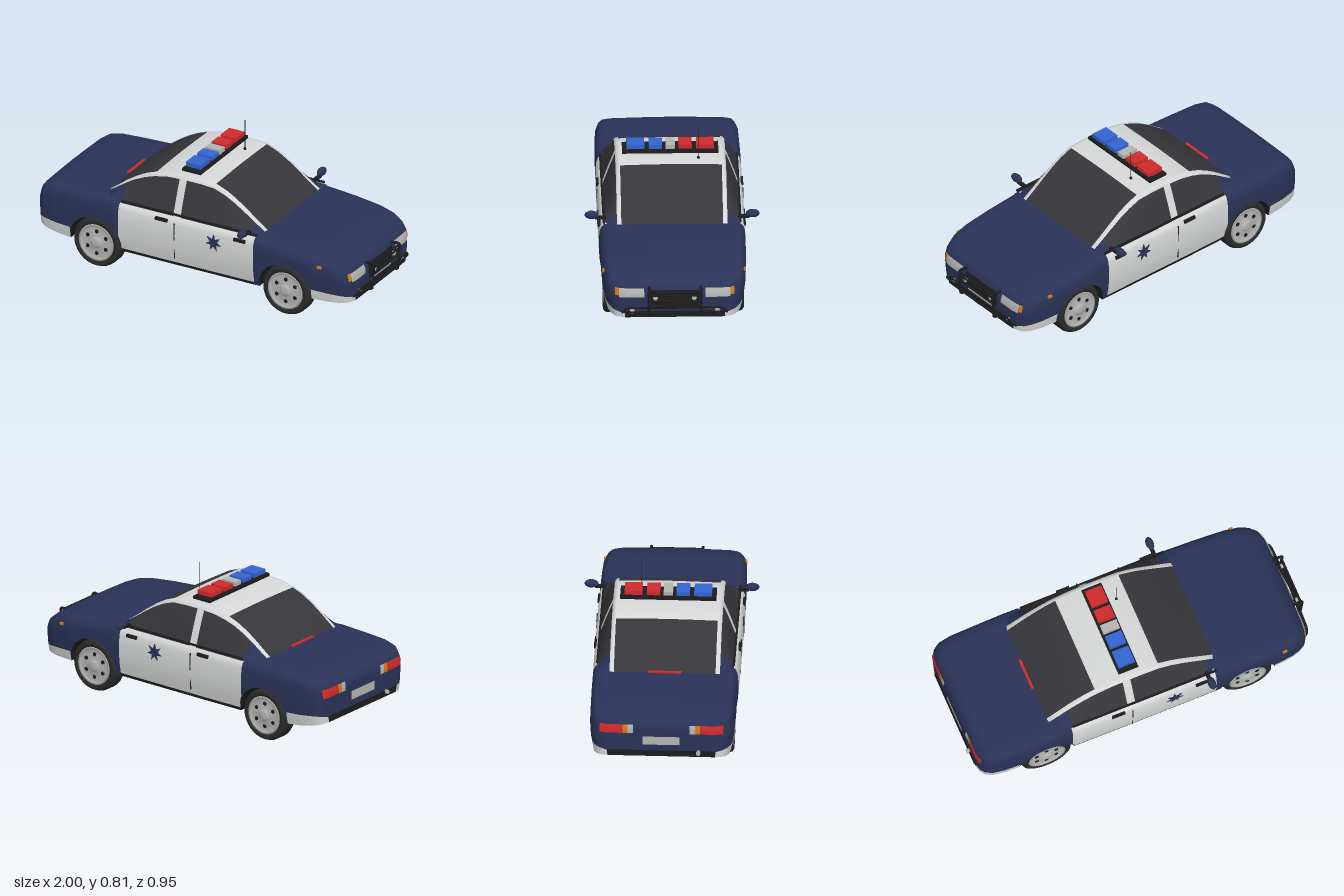
import * as THREE from 'three';

const mat = (name, color) => Object.assign(new THREE.MeshStandardMaterial({ color }), { name });

// linear lookup in rows [x, a, b, ...]
function lookup(rows, x, col) {
  let i = 0;
  while (i < rows.length - 2 && rows[i + 1][0] < x) i++;
  const [p, q] = [rows[i], rows[i + 1]];
  return THREE.MathUtils.lerp(p[col], q[col], THREE.MathUtils.clamp((x - p[0]) / (q[0] - p[0]), 0, 1));
}

// mirrored skin through half sections [z, y] (outer bottom to centre), closed at both ends
function loft(name, xs, half, mats, pick) {
  const pos = [], lists = mats.map(() => []);
  const stations = [[xs[0], 0], ...xs.map(x => [x, 1]), [xs[xs.length - 1], 0]];
  let n = 0, m = 0;
  for (const [x, s] of stations) {
    const h = half(x);
    m = h.length;
    n = 2 * m - 1;
    for (let j = 0; j < n; j++) {
      const [z, y] = h[j < m ? j : n - 1 - j];
      pos.push(x, y, (j < m ? -z : z) * s);
    }
  }
  for (let i = 0; i < stations.length - 1; i++) {
    const cap = i === 0 || i === stations.length - 2;
    const x = (stations[i][0] + stations[i + 1][0]) / 2;
    for (let j = 0; j < n - 1; j++) {
      const a = i * n + j, c = a + n;
      lists[pick(x, j < m - 1 ? j : n - 2 - j, cap)].push(a, a + 1, c, a + 1, c + 1, c);
    }
  }
  const g = new THREE.BufferGeometry();
  g.setAttribute('position', new THREE.Float32BufferAttribute(pos, 3));
  g.setIndex(lists.flat());
  let start = 0;
  lists.forEach((l, i) => { g.addGroup(start, l.length, i); start += l.length; });
  g.computeVertexNormals();
  return Object.assign(new THREE.Mesh(g, mats), { name });
}

export function createModel() {
  const car = new THREE.Group();
  car.name = 'patrolCar';
  const navy = mat('navyPaint', 0x2a3358), white = mat('whitePaint', 0xd6d8d8), glass = mat('darkGlass', 0x36363b);
  const black = mat('blackTrim', 0x1d1d1f), tyreMat = mat('tyreRubber', 0x2b2b2c), grey = mat('greyMetal', 0xb4b5b3);
  const red = mat('redLens', 0xd02a2a), blue = mat('blueLens', 0x3264d2), orange = mat('orangeLens', 0xd27a1e);
  const add = (name, geo, m, x = 0, y = 0, z = 0, parent = car) => {
    const mesh = new THREE.Mesh(geo, m);
    mesh.name = name;
    mesh.position.set(x, y, z);
    parent.add(mesh);
    return mesh;
  };
  const box = (name, m, x, y, z, w, h, d) => add(name, new THREE.BoxGeometry(w, h, d), m, x, y, z);

  // lower body: x, half width, top height
  const plan = [[-.98, .3, .34], [-.972, .335, .37], [-.955, .36, .395], [-.92, .38, .418], [-.85, .39, .43],
    [-.7, .393, .437], [-.55, .395, .442], [-.455, .395, .435], [-.2, .397, .43], [.1, .397, .43], [.385, .397, .428],
    [.6, .393, .412], [.75, .388, .395], [.84, .378, .375], [.89, .362, .352], [.925, .34, .325], [.94, .315, .3], [.95, .28, .27]];
  const axles = [-.6, .575], archR = .16;
  const bottom = x => {
    let b = .135 + Math.max(0, -x - .8) * .2;
    for (const c of axles) if (Math.abs(x - c) < archR) b = Math.max(b, .145 + Math.sqrt(archR ** 2 - (x - c) ** 2));
    return b;
  };
  const xs = plan.map(p => p[0]);
  for (const c of axles) for (let i = 0; i <= 20; i++) xs.push(c - archR * Math.cos(i * Math.PI / 20));
  xs.sort((a, b) => a - b);
  const stations = xs.filter((x, i) => i === 0 || x - xs[i - 1] > 1e-4);
  const side = (w, y) => w * (1 - .05 * ((y - .3) / .16) ** 2);
  const body = loft('body', stations, x => {
    const w = lookup(plan, x, 1), top = lookup(plan, x, 2), b = bottom(x);
    const rows = [0, .07, .28, .5, .75, 1].map(f => {
      const y = THREE.MathUtils.lerp(b, top - .05, f);
      return [side(w, y), y];
    });
    return [...rows, [w * .962, top - .024], [w * .915, top - .007], [w * .8, top], [w * .4, top + .004], [0, top + .006]];
  }, [navy, white, black], (x, k, cap) => {
    if (cap) return k < 2 ? 2 : 0;
    if (x > -.455 && x < .385) return k === 0 ? 2 : 1;
    return k < 2 && (x > .735 || x < -.76) ? 1 : 0;
  });
  car.add(body);

  // underside and wheel tunnels
  const fp = [], fi = [];
  stations.forEach((x, i) => {
    const b = bottom(x), z = side(lookup(plan, x, 1), b);
    fp.push(x, b, -z, x, b, z);
    if (i) fi.push(2 * i - 2, 2 * i, 2 * i - 1, 2 * i - 1, 2 * i, 2 * i + 1);
  });
  const floor = new THREE.BufferGeometry();
  floor.setAttribute('position', new THREE.Float32BufferAttribute(fp, 3));
  floor.setIndex(fi);
  floor.computeVertexNormals();
  add('underside', floor, black);

  // cabin with windows, pillars and roof
  const roof = [[-.565, .44], [-.5, .488], [-.45, .525], [-.4, .557], [-.34, .588], [-.28, .61], [-.2, .628], [-.125, .633],
    [-.08, .634], [0, .634], [.09, .628], [.16, .6], [.22, .565], [.29, .515], [.35, .47], [.41, .427]];
  car.add(loft('cabin', roof.map(p => p[0]), x => {
    const y = lookup(roof, x, 1);
    const rows = [1, .6, .3, .08, 0].map(t => [.29 + .08 * t ** .88, THREE.MathUtils.lerp(y - .003, .42, t)]);
    return [...rows, [.275, y], [.15, y + .003], [0, y + .005]];
  }, [navy, white, glass], (x, k) => {
    if (k >= 5) return x > .09 || x < -.28 ? 2 : 1;
    if (k >= 3) return 1;
    if (x < -.45 || x > .35) return 0;
    return x > -.125 && x < -.08 ? 1 : 2;
  }));

  // thin plate hugging the nose (dir 1) or tail (dir -1)
  const ray = new THREE.Raycaster();
  body.updateMatrixWorld(true);
  function patch(name, m, dir, z0, z1, y0, y1) {
    const g = new THREE.PlaneGeometry(1, 1, 10, 4), p = g.attributes.position;
    let x = dir * .95;
    for (let i = 0; i < p.count; i++) {
      const z = THREE.MathUtils.lerp(z0, z1, .5 - dir * p.getX(i));
      const y = THREE.MathUtils.lerp(y0, y1, p.getY(i) + .5);
      ray.set(new THREE.Vector3(dir * 2, y, z), new THREE.Vector3(-dir, 0, 0));
      const hit = ray.intersectObject(body)[0];
      if (hit) x = hit.point.x;
      p.setXYZ(i, x + dir * .005, y, z);
    }
    g.computeVertexNormals();
    add(name, g, m);
  }
  const both = (name, m, dir, z0, z1, y0, y1) => {
    patch(name, m, dir, z0, z1, y0, y1);
    patch(name, m, dir, -z1, -z0, y0, y1);
  };
  both('headlight', grey, 1, .165, .3, .255, .305);
  both('turnSignal', orange, 1, .3, .322, .265, .307);
  patch('grille', black, 1, -.13, .13, .205, .295);
  patch('frontPlate', grey, 1, -.11, .11, .188, .2);
  patch('frontBumper', black, 1, -.27, .27, .138, .175);
  both('tailLight', red, -1, .21, .335, .315, .365);
  both('rearSignal', orange, -1, .182, .21, .315, .365);
  both('reverseLight', grey, -1, .152, .182, .315, .365);
  patch('rearPlate', grey, -1, -.1, .1, .245, .295);
  patch('rearBumper', black, -1, -.28, .28, .175, .21);

  // wheels
  const v = (x, y) => new THREE.Vector2(x, y);
  const tyreGeo = new THREE.LatheGeometry([v(.1, -.045), v(.125, -.052), v(.138, -.045), v(.145, -.03), v(.145, .03),
    v(.138, .045), v(.125, .052), v(.1, .045), v(.1, -.045)], 32).rotateX(Math.PI / 2);
  const hubGeo = new THREE.LatheGeometry([v(0, -.03), v(.1, -.04), v(.108, -.048), v(.108, .049), v(.096, .049), v(.088, .038),
    v(.035, .044), v(.03, .052), v(.02, .056), v(0, .056)], 32).rotateX(Math.PI / 2);
  const holeGeo = new THREE.CylinderGeometry(.012, .012, .008, 6).rotateX(Math.PI / 2);
  for (const x of axles) for (const s of [1, -1]) {
    const wheel = new THREE.Group();
    wheel.name = 'wheel';
    wheel.position.set(x, .145, s * .328);
    wheel.rotation.y = s > 0 ? 0 : Math.PI;
    add('tyre', tyreGeo, tyreMat, 0, 0, 0, wheel);
    add('hub', hubGeo, grey, 0, 0, 0, wheel);
    for (let i = 0; i < 6; i++) {
      const a = (i + .5) * Math.PI / 3;
      add('hubHole', holeGeo, black, .065 * Math.cos(a), .065 * Math.sin(a), .04, wheel);
    }
    car.add(wheel);
  }

  // side details on both flanks
  const star = new THREE.Shape(Array.from({ length: 14 }, (_, i) => {
    const r = i % 2 ? .022 : .05, a = Math.PI / 2 + i * Math.PI / 7;
    return v(r * Math.cos(a), r * Math.sin(a));
  }));
  const starGeo = new THREE.ExtrudeGeometry(star, { depth: .008, bevelEnabled: false }).translate(0, 0, -.004);
  for (const s of [1, -1]) {
    add('doorStar', starGeo, navy, .14, .335, s * .395);
    box('rearDoorHandle', black, -.187, .394, s * .388, .075, .017, .018);
    box('frontDoorHandle', black, .3, .386, s * .39, .07, .017, .018);
    box('doorSeam', black, -.105, .34, s * .394, .004, .1, .007);
    box('doorSeam', black, -.105, .21, s * .39, .004, .06, .007);
    box('windowTrim', black, -.025, .432, s * .369, .84, .009, .012);
    box('sideMarker', orange, .79, .34, s * .382, .025, .014, .012);
    const shell = add('mirror', new THREE.SphereGeometry(1, 16, 10), navy, .34, .455, s * .435);
    shell.scale.set(.022, .023, .038);
    box('mirrorArm', black, .34, .438, s * .387, .022, .012, .06);
  }

  // roof light bar and antenna
  box('lightBar', black, -.075, .653, 0, .115, .016, .52);
  for (const s of [1, -1]) box('lightBarFoot', black, -.075, .638, s * .2, .06, .022, .03);
  for (const [m, z, d] of [[blue, .188, .096], [blue, .08, .072], [grey, 0, .05], [red, -.08, .072], [red, -.188, .096]]) {
    box('beaconBase', black, -.075, .663, z, .1, .008, d);
    box('beacon', m, -.075, .677, z, .095, .027, d);
  }
  add('antenna', new THREE.CylinderGeometry(.0018, .0018, .18, 6), black, .025, .722, -.15);
  add('antennaBase', new THREE.CylinderGeometry(.006, .009, .014, 10), black, .025, .639, -.15);
  box('highBrakeLight', red, -.565, .449, 0, .014, .012, .18);

  // push bar, lamps and exhaust
  const tube = (name, pts, r) => {
    const path = new THREE.CurvePath();
    const ps = pts.map(p => new THREE.Vector3(...p));
    for (let i = 1; i < ps.length; i++) path.add(new THREE.LineCurve3(ps[i - 1], ps[i]));
    add(name, new THREE.TubeGeometry(path, 30, r, 8), black);
  };
  for (const s of [1, -1]) {
    tube('pushBarUpright', [[.93, .305, s * .14], [.985, .312, s * .14], [.992, .3, s * .14], [.98, .155, s * .14], [.94, .15, s * .14]], .008);
    const lampGeo = new THREE.CylinderGeometry(.013, .013, .012, 12).rotateZ(Math.PI / 2);
    add('spotLamp', lampGeo, grey, .975, .262, s * .105);
    add('fogLamp', lampGeo, grey, .954, .176, s * .23);
  }
  for (const [y, r] of [[.298, .006], [.278, .005], [.245, .005], [.215, .005]]) tube('pushBarRail', [[.985, y, -.14], [.985, y, .14]], r);
  tube('bumperRail', [[.93, .15, -.285], [.962, .175, -.28], [.972, .202, -.255], [.98, .204, 0], [.972, .202, .255], [.962, .175, .28], [.93, .15, .285]], .006);
  tube('bumperRail', [[.962, .172, -.28], [.98, .172, 0], [.962, .172, .28]], .005);
  add('exhaust', new THREE.CylinderGeometry(.012, .012, .05, 12).rotateZ(Math.PI / 2), grey, -.973, .2, .2);
  return car;
}
